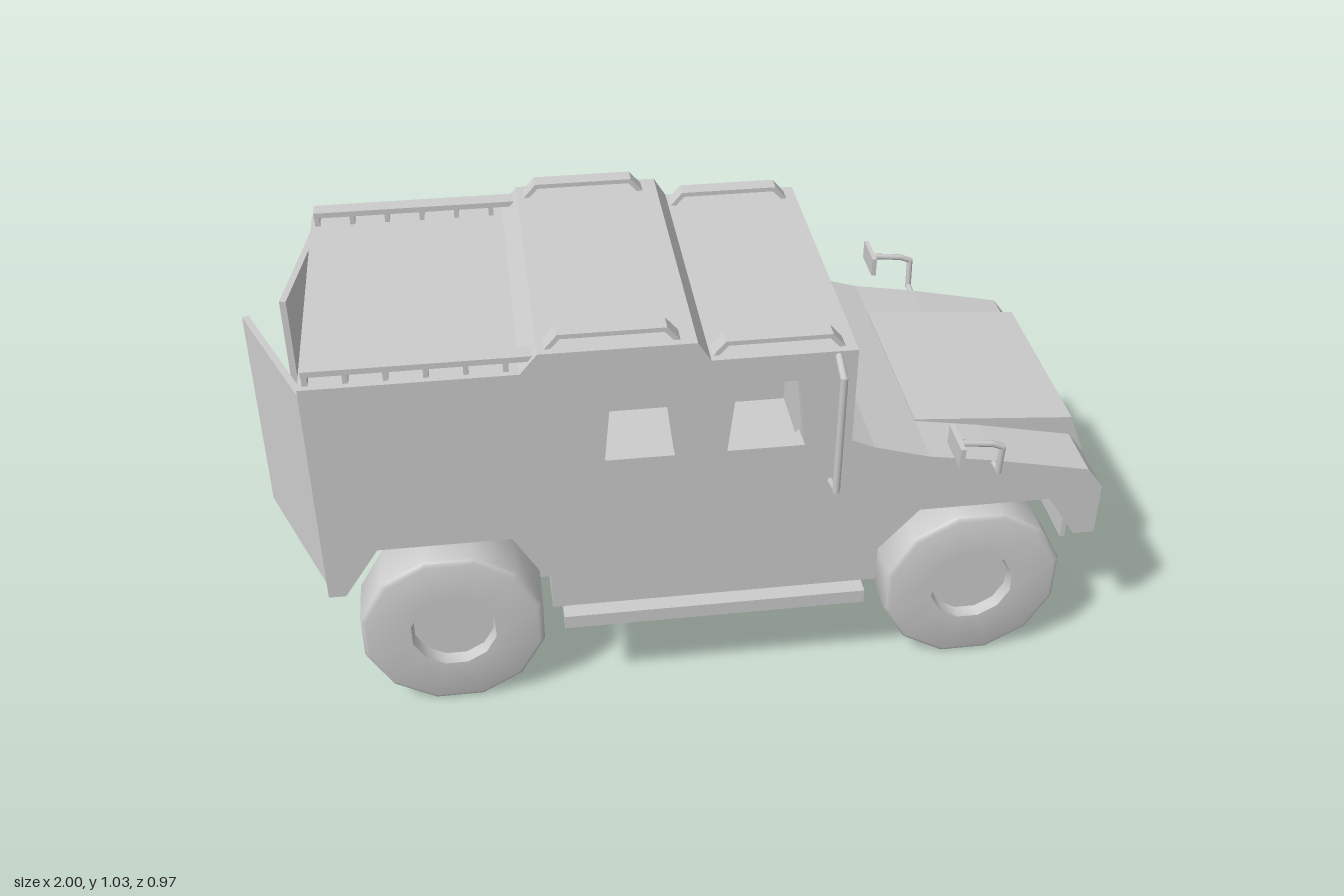
import * as THREE from 'three';
import { toCreasedNormals } from 'three/addons/utils/BufferGeometryUtils.js';

const material = new THREE.MeshStandardMaterial({ color: 0xcccccc });
const HALF = 0.39; // half width of the body
const WALL = 0.03;

function polygon(points, holes = []) {
  const toVectors = (list) => list.map(([x, y]) => new THREE.Vector2(x, y));
  const shape = new THREE.Shape(toVectors(points));
  for (const hole of holes) shape.holes.push(new THREE.Path(toVectors(hole)));
  return shape;
}

// Side profile extruded across z, centred on z
function slab(points, depth, z = 0, holes = []) {
  const geometry = new THREE.ExtrudeGeometry(polygon(points, holes), { depth, bevelEnabled: false });
  return geometry.translate(0, 0, z - depth / 2);
}

function box(x0, x1, y0, y1, z0, z1) {
  const geometry = new THREE.BoxGeometry(Math.abs(x1 - x0), Math.abs(y1 - y0), Math.abs(z1 - z0));
  return geometry.translate((x0 + x1) / 2, (y0 + y1) / 2, (z0 + z1) / 2);
}

// Round bar following straight segments
function addBar(group, name, points, radius) {
  const bar = new THREE.Group();
  bar.name = name;
  const up = new THREE.Vector3(0, 1, 0);
  for (let i = 1; i < points.length; i++) {
    const a = new THREE.Vector3(...points[i - 1]);
    const b = new THREE.Vector3(...points[i]);
    const length = a.distanceTo(b);
    const mesh = new THREE.Mesh(new THREE.CylinderGeometry(radius, radius, length + radius, 8), material);
    mesh.position.copy(a).lerp(b, 0.5);
    mesh.quaternion.setFromUnitVectors(up, b.sub(a).normalize());
    mesh.name = name + 'Segment';
    bar.add(mesh);
  }
  group.add(bar);
}

function wheelGeometry() {
  const R = 0.225, h = 0.0725, hub = 0.104;
  const half = [[R, h - 0.014], [R - 0.004, h - 0.005], [R - 0.014, h], [hub, h], [hub - 0.006, h - 0.03], [0, h - 0.03]];
  const profile = [...half.map(([r, y]) => [r, -y]).reverse(), ...half];
  const geometry = new THREE.LatheGeometry(profile.map(([r, y]) => new THREE.Vector2(r, y)), 12, Math.PI / 12);
  return toCreasedNormals(geometry.rotateX(Math.PI / 2), 0.7);
}

export function createModel() {
  const model = new THREE.Group();
  model.name = 'armouredTruck';
  const add = (name, geometry) => {
    const mesh = new THREE.Mesh(geometry, material);
    mesh.name = name;
    model.add(mesh);
    return mesh;
  };

  // Outline pieces shared by the walls and the parts between them
  const rearArch = [[-0.855, 0.36], [-0.815, 0.36], [-0.73, 0.49], [-0.40, 0.49], [-0.335, 0.365], [-0.335, 0.27]];
  const nose = [[0.455, 0.27], [0.455, 0.365], [0.55, 0.475], [0.87, 0.475], [0.945, 0.36], [0.997, 0.36],
    [0.997, 0.50], [0.955, 0.555], [0.72, 0.605], [0.56, 0.632], [0.425, 0.672], [0.37, 0.697]];
  const roof = [[0.37, 0.945], [0.04, 0.945], [0.01, 0.993], [-0.34, 0.993], [-0.38, 0.945], [-0.855, 0.945]];
  const windows = [
    [[-0.185, 0.855], [-0.06, 0.855], [-0.04, 0.695], [-0.20, 0.695]],
    [[0.10, 0.875], [0.24, 0.875], [0.26, 0.695], [0.08, 0.695]],
  ];
  const inner = 2 * (HALF - WALL);

  // Body shell
  for (const s of [1, -1]) {
    add(s > 0 ? 'leftWall' : 'rightWall', slab([...rearArch, ...nose, ...roof], WALL, s * (HALF - WALL / 2), windows));
  }
  const roofInside = roof.map(([x, y]) => [x, y - 0.025]).reverse();
  add('roof', slab([...roof, ...roofInside], inner));
  add('floor', slab([...rearArch, [0.37, 0.27], [0.37, 0.30], [-0.31, 0.30], [-0.37, 0.51], [-0.855, 0.51]], inner));
  add('nose', slab([[0.37, 0.27], ...nose], inner));
  add('hood', slab([[0.56, 0.60], [0.90, 0.50], [0.997, 0.50], [0.955, 0.606], [0.56, 0.636]], 0.49));

  // Windscreen frame, drawn across z and turned to face forward
  const w = HALF - WALL;
  const frame = slab([[-w, 0.66], [w, 0.66], [w, 0.945], [-w, 0.945]], 0.03, 0,
    [[[-0.325, 0.70], [0.325, 0.70], [0.325, 0.88], [-0.325, 0.88]]]);
  add('windscreenFrame', frame.rotateY(Math.PI / 2).translate(0.354, 0, 0));

  // Rear doors standing ajar
  const doors = [['leftRearDoor', [-0.85, 0.365], [-0.993, 0.02]], ['rightRearDoor', [-0.85, -0.385], [-0.912, -0.035]]];
  for (const [name, [x0, z0], [x1, z1]] of doors) {
    const door = add(name, new THREE.BoxGeometry(0.016, 0.53, Math.hypot(x1 - x0, z1 - z0)));
    door.position.set((x0 + x1) / 2, 0.65, (z0 + z1) / 2);
    door.rotation.y = Math.atan2(x1 - x0, z1 - z0);
  }

  // Drive housings under the body and front skid plate
  add('rearHousing', slab([[-0.68, 0.49], [-0.68, 0.25], [-0.63, 0.165], [-0.31, 0.165], [-0.25, 0.275], [-0.36, 0.49]], 0.31));
  add('frontHousing', slab([[0.33, 0.275], [0.39, 0.165], [0.81, 0.165], [0.87, 0.25], [0.87, 0.476], [0.45, 0.476]], 0.31));
  add('skidPlate', box(0.978, 0.99, 0.228, 0.37, -0.245, 0.245));

  // Wheels and axles
  const wheel = wheelGeometry();
  for (const [name, x] of [['rear', -0.575], ['front', 0.705]]) {
    for (const s of [1, -1]) add(name + 'Wheel', wheel).position.set(x, 0.2175, s * 0.317);
    addBar(model, name + 'Axle', [[x, 0.217, -0.3], [x, 0.217, 0.3]], 0.016);
  }

  const railPath = (x0, x1, y) => [
    [x0, y], [x0 + 0.03, y + 0.035], [x1 - 0.03, y + 0.035], [x1, y],
    [x1 - 0.014, y], [x1 - 0.036, y + 0.024], [x0 + 0.036, y + 0.024], [x0 + 0.014, y],
  ];

  for (const s of [1, -1]) {
    // Running board
    add('runningBoard', box(-0.31, 0.42, 0.232, 0.268, s * 0.35, s * 0.428));

    // Roof rails
    add('middleRoofRail', slab(railPath(-0.325, -0.025, 0.992), 0.042, s * 0.35));
    add('frontRoofRail', slab(railPath(0.045, 0.345, 0.944), 0.042, s * 0.35));
    add('rearRoofRail', box(-0.845, -0.35, 0.968, 0.982, s * 0.335, s * 0.377));
    for (let i = 0; i < 6; i++) {
      const x = -0.838 + i * 0.086;
      add('rearRailPost', box(x - 0.006, x + 0.006, 0.944, 0.97, s * 0.337, s * 0.375));
    }

    // Grab bar beside the windscreen
    const grab = [[0.38, 0.935], [0.448, 0.908], [0.448, 0.602], [0.38, 0.582]];
    addBar(model, 'grabBar', grab.map(([z, y]) => [0.326, y, s * z]), 0.009);

    // Wing mirror on a bent arm
    addBar(model, 'mirrorArm', [[0.717, 0.597, s * 0.38], [0.717, 0.602, s * 0.425], [0.717, 0.677, s * 0.432],
      [0.69, 0.688, s * 0.432], [0.607, 0.697, s * 0.432]], 0.008);
    add('mirror', box(0.6, 0.612, 0.665, 0.715, s * 0.384, s * 0.484));
  }
  return model;
}
